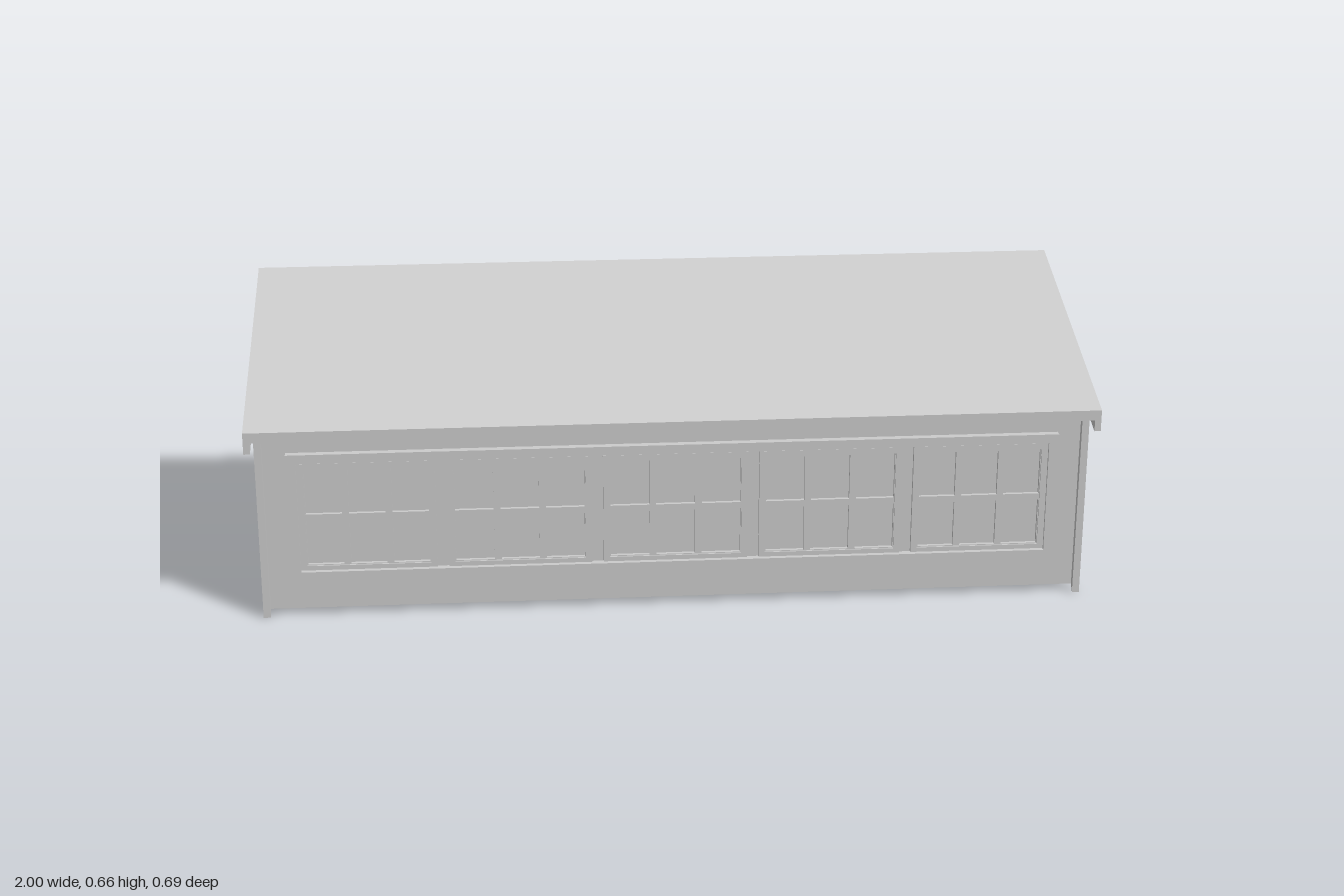
import * as THREE from 'three';

const material = new THREE.MeshStandardMaterial({ color: 0xcccccc, side: THREE.DoubleSide });

function addMesh(parent, name, geometry) {
  const mesh = new THREE.Mesh(geometry, material);
  mesh.name = name;
  parent.add(mesh);
  return mesh;
}

// Side profile given as [z, y] points, extruded across x from x0 to x1
function sideExtrude(points, x0, x1) {
  const shape = new THREE.Shape(points.map(([z, y]) => new THREE.Vector2(z, y)));
  return new THREE.ExtrudeGeometry(shape, { depth: x1 - x0, bevelEnabled: false })
    .rotateY(-Math.PI / 2)
    .translate(x1, 0, 0);
}

function rectPoints([x0, x1, y0, y1]) {
  return [[x0, y0], [x1, y0], [x1, y1], [x0, y1]].map(p => new THREE.Vector2(...p));
}

// Flat rectangular panel with rectangular openings, from z0 to z1
function panel(outer, holes, z0, z1) {
  const shape = new THREE.Shape(rectPoints(outer));
  holes.forEach(h => shape.holes.push(new THREE.Path(rectPoints(h).reverse())));
  return new THREE.ExtrudeGeometry(shape, { depth: z1 - z0, bevelEnabled: false })
    .translate(0, 0, z0);
}

// Sloping roof line lowered by d, and its meeting point with the 45 degree main roof
const SLOPE = 0.262, FRONT = 0.345, FACE = 0.317;
const roofY = (z, d) => 0.57 - SLOPE * z - d;
const backPoint = d => {
  const z = (FACE - 0.57 + d) / (1 - SLOPE);
  return [z, roofY(z, d)];
};
const roofProfile = d => [
  [FRONT, roofY(FRONT, d)], [FRONT, roofY(FRONT, 0)], backPoint(0), backPoint(d),
];

export function createModel() {
  const model = new THREE.Group();
  model.name = 'shedDormer';

  // Roof slab
  const slab = 0.025;
  addMesh(model, 'roof', sideExtrude(roofProfile(slab), -0.985, 0.985));

  // Barge boards, triangular cheeks and corner posts on both sides
  for (const side of [-1, 1]) {
    const label = side > 0 ? 'left' : 'right';
    const addSide = (name, points, inner, outer) => addMesh(model, label + name,
      sideExtrude(points, Math.min(side * inner, side * outer), Math.max(side * inner, side * outer)));
    const postBack = 0.297;
    addSide('BargeBoard', roofProfile(0.052), 0.985, 1);
    addSide('Cheek', [
      [postBack, FACE - postBack], [postBack, roofY(postBack, slab)], backPoint(slab),
    ], 0.962, 0.975);
    addSide('CornerPost', [
      [FACE, 0], [FACE, roofY(FACE, slab)], [postBack, roofY(postBack, slab)], [postBack, FACE - postBack],
    ], 0.962, 0.979);
  }

  // Front wall with one long opening, and the casing around it
  const opening = [-0.885, 0.885, 0.115, 0.39];
  addMesh(model, 'frontWall', panel([-0.963, 0.963, 0.016, 0.467], [opening], 0.288, 0.302));
  addMesh(model, 'windowCasing', panel([-0.908, 0.908, 0.09, 0.412], [opening], 0.296, 0.319));

  // Mullion board behind the sashes
  const spans = [[-0.885, -0.564], [-0.537, -0.198], [-0.171, 0.171], [0.198, 0.537], [0.564, 0.885]];
  addMesh(model, 'mullions', panel(opening,
    spans.map(([a, b]) => [a + 0.012, b - 0.012, 0.125, 0.38]), 0.288, 0.302));

  // Five sashes, each with a frame, three by two glazing bars and glass
  spans.forEach(([a, b], i) => {
    const sash = new THREE.Group();
    sash.name = 'window' + (i + 1);
    model.add(sash);

    const x0 = a + 0.015, x1 = b - 0.015, y0 = 0.128, y1 = 0.372, bar = 0.012;
    addMesh(sash, 'sashFrame', panel([a, b, 0.117, 0.387], [[x0, x1, y0, y1]], 0.286, 0.312));

    const panes = [];
    const w = (x1 - x0 - 2 * bar) / 3, h = (y1 - y0 - bar) / 2;
    for (let c = 0; c < 3; c++) {
      for (let r = 0; r < 2; r++) {
        const px = x0 + c * (w + bar), py = y0 + r * (h + bar);
        panes.push([px + 0.002, px + w - 0.002, py + 0.002, py + h - 0.002]);
      }
    }
    addMesh(sash, 'glazingBars', panel([x0, x1, y0, y1], panes, 0.29, 0.308));
    addMesh(sash, 'glass', panel([x0, x1, y0, y1], [], 0.297, 0.299));
  });

  return model;
}
